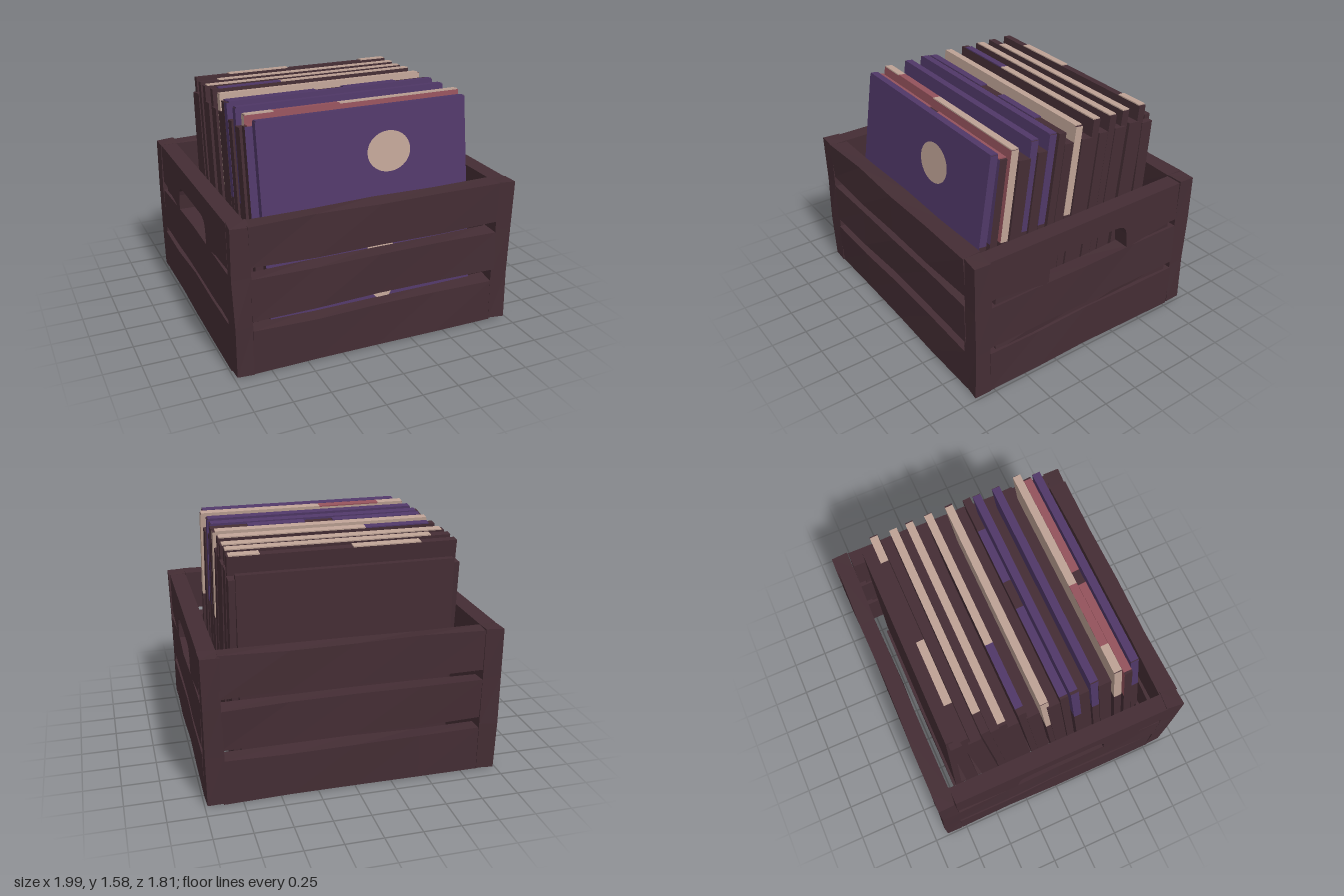
import * as THREE from 'three';

const mat = (name, color) => {
  const m = new THREE.MeshStandardMaterial({ color });
  m.name = name;
  return m;
};

export function createModel() {
  const model = new THREE.Group();
  model.name = 'recordCrate';
  const brown = mat('dark brown wood', 0x442d34);
  const purple = mat('purple sleeve', 0x503868);
  const cream = mat('cream paper', 0xbea295);
  const pink = mat('dusty pink sleeve', 0x94525c);

  // repeatable wobble from a position, so shared corners stay joined
  const wobble = (x, y, z, k) => {
    const s = Math.sin(x * 127.1 + y * 311.7 + z * 74.7 + k * 53.3) * 4375.85;
    return s - Math.floor(s) - 0.5;
  };

  // hand-hewn board: a box with slightly uneven corners
  function board(name, w, h, d, x, y, z, parent) {
    const seg = (v) => Math.max(1, Math.round(v / 0.4));
    const g = new THREE.BoxGeometry(w, h, d, seg(w), seg(h), seg(d)).translate(x, y, z).toNonIndexed();
    const p = g.attributes.position;
    for (let i = 0; i < p.count; i++) {
      const [a, b, c] = [p.getX(i), p.getY(i), p.getZ(i)].map((v) => Math.round(v * 1000) / 1000);
      p.setXYZ(i, a + wobble(a, b, c, 1) * 0.016, b + wobble(a, b, c, 2) * 0.016, c + wobble(a, b, c, 3) * 0.016);
    }
    g.computeVertexNormals();
    const m = new THREE.Mesh(g, brown);
    m.name = name;
    parent.add(m);
  }

  const crate = new THREE.Group();
  crate.name = 'crate';
  model.add(crate);
  for (const [end, z] of [['front', 0.832], ['back', -0.842]]) {
    // corner posts
    for (const sx of [-1, 1]) board('cornerPost', 0.125, 1.02, 0.12, sx * 0.928, 0.525, z, crate);
    // front and back slats
    for (const [y0, y1] of [[0.015, 0.32], [0.4, 0.68], [0.755, 1.035]])
      board(end + 'Slat', 1.75, y1 - y0, 0.115, 0, (y0 + y1) / 2, z, crate);
  }

  // side slats, the top one with a hand hole open to the gap below
  const grip = new THREE.Shape();
  grip.moveTo(-0.78, 0.74);
  grip.lineTo(-0.72, 0.74);
  grip.lineTo(-0.36, 0.685);
  grip.lineTo(-0.33, 0.69);
  grip.lineTo(-0.32, 0.8);
  grip.quadraticCurveTo(-0.31, 0.875, -0.22, 0.875);
  grip.lineTo(0.22, 0.875);
  grip.quadraticCurveTo(0.31, 0.875, 0.32, 0.8);
  grip.lineTo(0.33, 0.69);
  grip.lineTo(0.36, 0.685);
  grip.lineTo(0.72, 0.74);
  grip.lineTo(0.78, 0.74);
  grip.lineTo(0.78, 1.03);
  grip.lineTo(-0.78, 1.03);
  grip.closePath();
  const gripGeo = new THREE.ExtrudeGeometry(grip, { depth: 0.115, bevelEnabled: false, curveSegments: 4 });
  gripGeo.translate(0, 0, -0.0575).rotateY(Math.PI / 2);
  for (const sx of [-1, 1]) {
    board('sideSlat', 0.115, 0.31, 1.57, sx * 0.928, 0.17, 0, crate);
    board('sideSlat', 0.115, 0.305, 1.57, sx * 0.928, 0.53, 0, crate);
    board('lowerLedge', 0.08, 0.08, 1.46, sx * 0.925, 0.35, 0, crate);
    for (const sz of [-1, 1]) board('upperLedge', 0.08, 0.07, 0.38, sx * 0.925, 0.71, sz * 0.54, crate);
    const m = new THREE.Mesh(gripGeo, brown);
    m.name = 'handleSlat';
    m.position.x = sx * 0.928;
    crate.add(m);
  }

  // floor panel
  board('floor', 1.36, 0.05, 1.5, 0, 0.085, 0.03, crate);

  // leaning sleeves: z of the top edge, top height, side, front and back colours,
  // coloured top strips [x0, x1, colour]
  const full = (m) => [[-0.74, 0.745, m]];
  const plain = [brown, brown, brown];
  const rows = [
    [0.575, 1.57, [purple, purple, purple], [[-0.715, 0.74, purple]]],
    [0.515, 1.53, [brown, purple, pink], [[-0.75, -0.1, pink], [0, 0.74, pink]]],
    [0.445, 1.58, [cream, pink, cream], [[-0.74, -0.55, cream], [-0.55, -0.1, pink], [-0.1, 0.77, cream]]],
    [0.36, 1.48, plain, []],
    [0.28, 1.58, [purple, purple, purple], full(purple)],
    [0.205, 1.48, plain, []],
    [0.14, 1.58, [purple, purple, purple], full(purple)],
    [0.07, 1.57, plain, [[-0.74, -0.1, purple], [0.1, 0.5, purple]]],
    [0.005, 1.48, plain, []],
    [-0.06, 1.58, [cream, cream, cream], full(cream)],
    [-0.135, 1.47, plain, []],
    [-0.21, 1.58, plain, [[-0.7, -0.25, purple], [-0.25, 0.745, cream]]],
    [-0.28, 1.47, plain, []],
    [-0.345, 1.57, plain, full(cream)],
    [-0.405, 1.47, plain, []],
    [-0.46, 1.57, plain, [[-0.62, 0.745, cream]]],
    [-0.53, 1.47, plain, []],
    [-0.595, 1.57, plain, [[-0.5, -0.05, cream], [0.55, 0.745, cream]]],
    [-0.645, 1.44, plain, []],
    [-0.68, 1.47, plain, []],
  ];
  // left and right ends of the sleeves that differ in width
  const ends = { 0: [-0.72, 0.745], 1: [-0.765, 0.755], 2: [-0.745, 0.775], 19: [-0.7, 0.72] };
  const sleeves = new THREE.Group();
  sleeves.name = 'sleeves';
  model.add(sleeves);
  rows.forEach(([z, top, [side, face, rear], strips], i) => {
    const front = i === 0;
    const last = i === rows.length - 1;
    const angle = last ? 0 : Math.atan(front ? 0.15 : z < -0.62 ? 0.06 : 0.118 + 0.03 * z);
    const h = (top - 0.1) / Math.cos(angle);
    const split = top - 0.95;
    const [xa, xb] = ends[i] ?? [-0.75 - 0.02 * wobble(i, z, 1, 4), 0.755 + 0.02 * wobble(i, z, 2, 5)];
    const w = xb - xa;
    const mid = (xa + xb) / 2;
    const t = last ? 0.045 : top > 1.5 ? 0.054 : 0.088;
    const sleeve = new THREE.Group();
    sleeve.name = 'sleeve';
    sleeve.position.set(0, top, z);
    sleeve.rotation.x = -angle;
    sleeves.add(sleeve);

    const add = (name, geometry, material) => {
      const m = new THREE.Mesh(geometry, material);
      m.name = name;
      sleeve.add(m);
      return m;
    };
    // coloured upper part, plain lower part inside the crate
    add('upperCover', new THREE.BoxGeometry(w, split, t).translate(mid, -split / 2, 0),
      [side, side, brown, brown, face, rear]);
    add('lowerCover', new THREE.BoxGeometry(w, h - split, t).translate(mid, -(h + split) / 2, 0),
      [brown, brown, brown, brown, front ? purple : brown, brown]);
    // coloured top edge
    for (const [x0, x1, m] of strips)
      add('topEdge', new THREE.BoxGeometry(x1 - x0, 0.008, t).translate((x0 + x1) / 2, 0.004, 0), m);

    // painted discs on the front sleeve
    if (front) {
      for (const [x, y, rx, ry] of [[0.17, 1.28, 0.155, 0.135], [0.075, 0.53, 0.115, 0.235]]) {
        const disc = add('frontDisc', new THREE.CircleGeometry(1, 28), cream);
        disc.scale.set(rx, ry, 1);
        disc.position.set(x, (y - top) / Math.cos(angle), t / 2 + 0.004);
      }
    }
  });

  return model;
}
